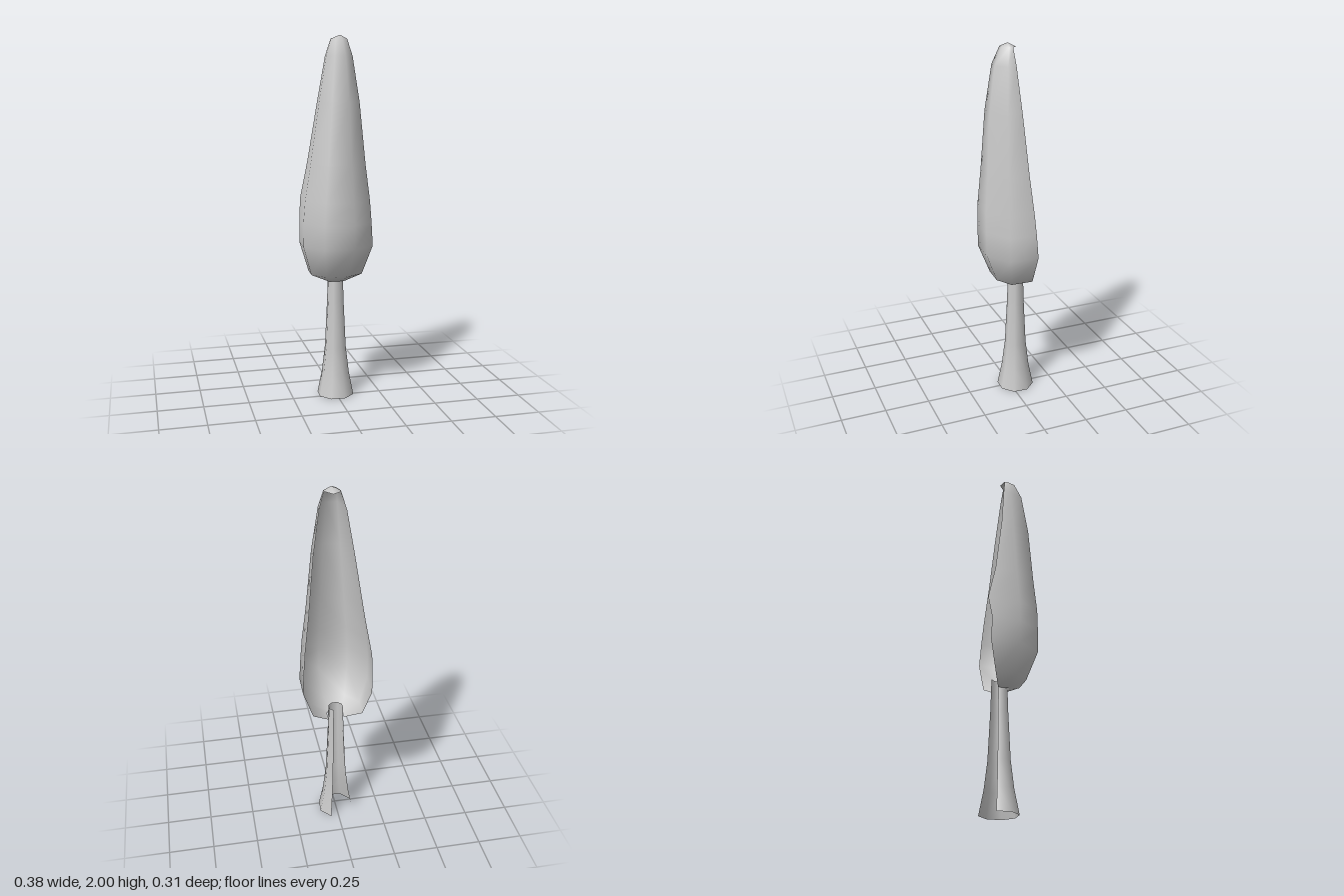
import * as THREE from 'three';

const material = new THREE.MeshStandardMaterial({ color: 0xcccccc, side: THREE.DoubleSide });

// Rings from top to bottom: [y, left x, right x, front z, back z at left edge, back z at right edge]
const RINGS = [
  [1.98, -0.032, 0.052, 0.053, -0.015, 0.003],
  [1.89, -0.06, 0.078, 0.093, -0.03, -0.005],
  [1.65, -0.1, 0.114, 0.127, -0.055, -0.025],
  [1.32, -0.148, 0.147, 0.145, -0.105, -0.053],
  [1.12, -0.18, 0.172, 0.16, -0.155, -0.072],
  [1.0, -0.19, 0.182, 0.16, -0.135, -0.082],
  [0.87, -0.19, 0.19, 0.158, -0.14, -0.09],
  [0.71, -0.145, 0.135, 0.095, -0.1, -0.08],
  [0.665, -0.045, 0.045, 0.01, -0.055, -0.065],
];

// Columns from the left back edge round the front to the right back edge:
// [share of half width, share of front depth]; the end columns use the back z
const COLUMNS = [[0.96, 0], [1, 0.12], [0.53, 0.95], [0.33, 1], [0.98, 0.44], [1, 0]];

function foliageGeometry() {
  const positions = [];
  const indices = [];
  const n = COLUMNS.length;
  for (const [y, left, right, front, backLeft, backRight] of RINGS) {
    COLUMNS.forEach(([u, w], i) => {
      const x = u * (i < n / 2 ? left : right);
      const z = i === 0 ? backLeft : i === n - 1 ? backRight : w * front;
      positions.push(x, y, z);
    });
  }
  for (let r = 0; r < RINGS.length - 1; r++) {
    for (let i = 0; i < n - 1; i++) {
      const a = r * n + i;
      indices.push(a, a + n, a + 1, a + 1, a + n, a + n + 1);
    }
  }
  // Tip closed all round, with a small lip over the open back
  const tip = positions.length / 3;
  positions.push(0.013, 2, 0.018, 0.01, 1.975, -0.03);
  for (let i = 0; i < n - 1; i++) indices.push(tip, i, i + 1);
  indices.push(tip, n - 1, tip + 1, tip, tip + 1, 0);

  const geometry = new THREE.BufferGeometry();
  geometry.setAttribute('position', new THREE.Float32BufferAttribute(positions, 3));
  geometry.setIndex(indices);
  geometry.computeVertexNormals();
  return geometry;
}

// Flared eight-sided trunk, two sides left open at the back
function trunkGeometry() {
  const profile = [[0.104, 0], [0.078, 0.13], [0.06, 0.28], [0.047, 0.55], [0.042, 0.73]]
    .map(([r, y]) => new THREE.Vector2(r, y));
  const deg = Math.PI / 180;
  return new THREE.LatheGeometry(profile, 6, -115 * deg, 270 * deg);
}

export function createModel() {
  const group = new THREE.Group();
  group.name = 'tree';

  const foliage = new THREE.Mesh(foliageGeometry(), material);
  foliage.name = 'foliage';

  const trunk = new THREE.Mesh(trunkGeometry(), material);
  trunk.name = 'trunk';
  trunk.position.z = -0.034;

  group.add(foliage, trunk);
  return group;
}
